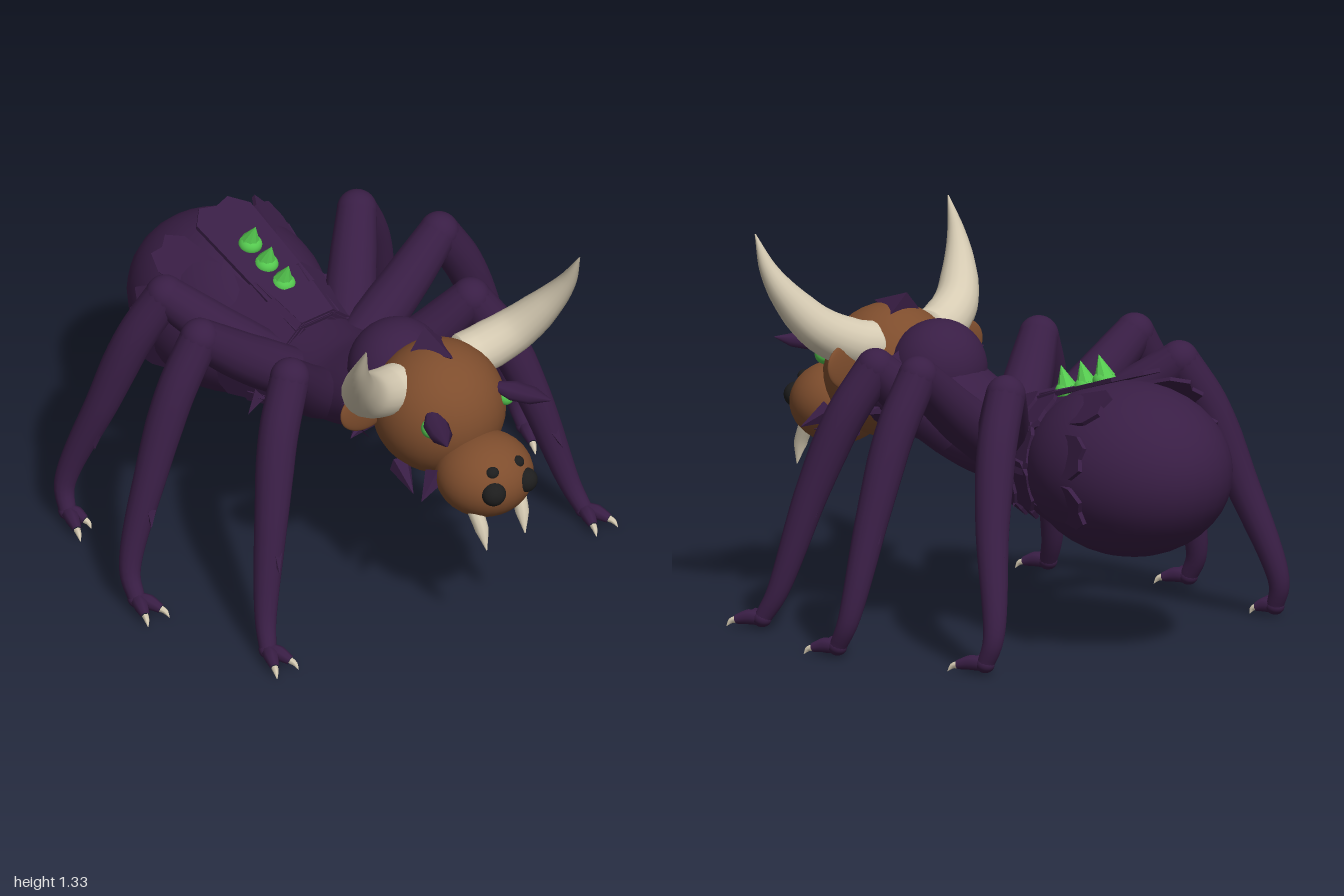
import * as THREE from 'three';

const material = (name, color) => {
  const m = new THREE.MeshStandardMaterial({ color });
  m.name = name;
  return m;
};
const V = (x, y, z) => new THREE.Vector3(x, y, z);

export function createModel() {
  const model = new THREE.Group();
  model.name = 'hornedCreature';
  const purple = material('purple hide', 0x391e45);
  const brown = material('brown skin', 0x7e4d2d);
  const cream = material('cream horn', 0xd6cbb3);
  const green = material('green glow', 0x55c94f);
  const black = material('black nostril', 0x1d1d1d);

  const add = (name, geometry, mat, parent = model) => {
    const mesh = new THREE.Mesh(geometry, mat);
    mesh.name = name;
    parent.add(mesh);
    return mesh;
  };
  const ball = (name, mat, c, r, parent = model) => {
    const mesh = add(name, new THREE.SphereGeometry(1, 32, 20), mat, parent);
    mesh.position.set(...c);
    mesh.scale.set(...r);
    return mesh;
  };
  // Tube along a smooth path with radii spread evenly over its length
  const limb = (name, mat, points, radii, parent = model, segments = 14) => {
    const curve = new THREE.CatmullRomCurve3(points, false, 'centripetal');
    const steps = 36;
    const g = new THREE.TubeGeometry(curve, steps, 1, segments);
    const p = g.attributes.position;
    const v = V(0, 0, 0);
    for (let i = 0; i <= steps; i++) {
      const t = (i / steps) * (radii.length - 1);
      const k = Math.min(Math.floor(t), radii.length - 2);
      const r = THREE.MathUtils.lerp(radii[k], radii[k + 1], t - k);
      const c = curve.getPointAt(i / steps);
      for (let j = 0; j <= segments; j++) {
        const n = i * (segments + 1) + j;
        v.fromBufferAttribute(p, n).sub(c).multiplyScalar(r).add(c);
        p.setXYZ(n, v.x, v.y, v.z);
      }
    }
    return add(name, g, mat, parent);
  };
  // Pointed cone from base to tip
  const spike = (name, mat, base, tip, r, parent = model, sides = 5) => {
    const d = tip.clone().sub(base);
    const mesh = add(name, new THREE.ConeGeometry(r, d.length(), sides).toNonIndexed(), mat, parent);
    mesh.geometry.computeVertexNormals();
    mesh.position.copy(base).addScaledVector(d, 0.5);
    mesh.quaternion.setFromUnitVectors(V(0, 1, 0), d.normalize());
    return mesh;
  };

  // Body
  ball('abdomen', purple, [-0.61, 0.63, 0], [0.39, 0.305, 0.33]);
  const torso = limb('torso', purple,
    [V(-0.4, 0.64, 0), V(-0.15, 0.64, 0), V(0.08, 0.665, 0), V(0.25, 0.73, 0), V(0.42, 0.79, 0)],
    [0.19, 0.155, 0.142, 0.145, 0.15, 0.18], model, 24);
  torso.scale.z = 1.4;
  ball('neckHood', purple, [0.325, 0.85, 0], [0.165, 0.172, 0.175]);

  // Overlapping plates fanned around the front of the abdomen
  const plate = (angle, length, width, lift) => {
    const w = width;
    const shape = new THREE.Shape([
      [0, -w * 0.7], [0, w * 0.7], [-length * 0.9, w * 0.85], [-length, w * 0.45],
      [-length * 0.97, 0], [-length, -w * 0.45], [-length * 0.9, -w * 0.85],
    ].map(([x, y]) => new THREE.Vector2(x, y)));
    const g = new THREE.ExtrudeGeometry(shape, { depth: 0.015, bevelEnabled: false });
    g.rotateX(-Math.PI / 2).rotateZ(-0.31).translate(-0.12, 0.16 + lift, 0);
    const mesh = add('abdomenPlate', g, purple);
    mesh.rotation.x = angle;
    mesh.position.y = 0.63;
  };
  for (const a of [0, 0.7, -0.7, 1.3, -1.3, 1.85, -1.85, 2.4, -2.4]) {
    const l = a === 0 ? 0.61 : Math.abs(a) > 2 ? 0.33 : 0.63;
    plate(a, l, a === 0 ? 0.14 : 0.09, a === 0 ? 0 : -0.01);
    plate(a, l * 0.42, 0.11, 0.006);
    plate(a, l * 0.25, 0.1, 0.018);
  }
  // Ragged fringe underneath the waist
  for (let i = -3; i <= 3; i++)
    spike('waistFringe', purple, V(-0.2, 0.54, i * 0.06), V(-0.2, 0.43 + Math.abs(i) * 0.012, i * 0.08), 0.035, model, 4);

  // Glowing back spines
  [[-0.49, 0.925], [-0.4, 0.89], [-0.305, 0.86]].forEach(([x, y]) => {
    ball('spineBase', green, [x, y, 0], [0.042, 0.034, 0.042]);
    spike('backSpine', green, V(x, y + 0.012, 0), V(x + 0.03, y + 0.088, 0), 0.037, model, 8);
  });

  // Head
  ball('head', brown, [0.56, 0.81, 0], [0.235, 0.237, 0.235]);
  ball('muzzle', brown, [0.815, 0.66, 0], [0.172, 0.145, 0.172]);
  spike('headCrest', purple, V(0.49, 1.025, 0), V(0.64, 1.045, 0), 0.07, model, 4);

  for (const s of [1, -1]) {
    const P = (x, y, z) => V(x, y, z * s);
    const side = new THREE.Group();
    side.name = s > 0 ? 'leftSide' : 'rightSide';
    model.add(side);

    // Face
    limb('horn', cream,
      [P(0.515, 0.925, 0.15), P(0.53, 0.94, 0.22), P(0.575, 1.0, 0.335), P(0.645, 1.11, 0.42), P(0.7, 1.21, 0.46), P(0.752, 1.33, 0.473)],
      [0.085, 0.086, 0.079, 0.067, 0.048, 0.026, 0.002], side, 18);
    ball('hornRoot', cream, [0.515, 0.925, 0.155 * s], [0.085, 0.084, 0.03], side);
    ball('eye', green, [0.722, 0.865, 0.165 * s], [0.034, 0.035, 0.032], side);
    const brow = limb('brow', purple, [P(0.695, 0, 0.14), P(0.79, 0, 0.185), P(0.9, 0.01, 0.232)],
      [0.02, 0.045, 0.04, 0.002], side, 8);
    brow.scale.y = 0.65;
    brow.position.y = 0.903;
    ball('nostril', black, [0.955, 0.675, 0.07 * s], [0.042, 0.044, 0.044], side);
    ball('muzzleSpot', black, [0.928, 0.742, 0.055 * s], [0.024, 0.022, 0.025], side);
    limb('fang', cream, [P(0.88, 0.58, 0.095), P(0.91, 0.52, 0.09), P(0.935, 0.435, 0.085)],
      [0.028, 0.024, 0.002], side, 10);
    const ear = ball('ear', brown, [0.49, 0.87, 0.27 * s], [0.016, 0.085, 0.11], side);
    ear.rotation.x = -0.2 * s;
    spike('cheekSpike', purple, P(0.43, 0.86, 0.19), P(0.42, 0.87, 0.32), 0.055, side);
    spike('hoodSpike', purple, P(0.37, 0.74, 0.15), P(0.42, 0.71, 0.28), 0.05, side);
    spike('jawSpike', purple, P(0.56, 0.63, 0.17), P(0.71, 0.61, 0.23), 0.04, side);
    spike('jawSpike', purple, P(0.72, 0.66, 0.14), P(0.765, 0.61, 0.24), 0.04, side, 4);

    // Legs: hip, knee, shin, ankle and foot
    const legs = [
      ['hindLeg', [-0.15, 0.68, 0.16], [-0.43, 0.925, 0.425], [-0.545, 0.5, 0.605], [-0.645, 0.13, 0.7], [-0.615, 0.04, 0.71], [[-0.48, 0.76], [-0.52, 0.68]]],
      ['middleLeg', [-0.07, 0.68, 0.16], [-0.105, 0.96, 0.53], [-0.1, 0.5, 0.745], [-0.085, 0.13, 0.855], [-0.04, 0.04, 0.86], [[0.08, 0.905], [0.08, 0.81]]],
      ['foreLeg', [0.1, 0.68, 0.16], [0.235, 0.92, 0.4], [0.36, 0.5, 0.58], [0.445, 0.13, 0.675], [0.49, 0.04, 0.7], [[0.61, 0.755], [0.61, 0.66]]],
    ];
    for (const [name, hip, knee, shin, ankle, foot, toes] of legs) {
      const leg = new THREE.Group();
      leg.name = name;
      side.add(leg);
      const h = P(...hip), k = P(...knee), m = P(...shin), a = P(...ankle), f = P(...foot);
      // Thigh and shin meet in a round knee
      limb('thigh', purple, [h, h.clone().lerp(k, 0.5).add(P(0, -0.01, 0)), k], [0.09, 0.09, 0.082, 0.07], leg);
      ball('knee', purple, k.toArray(), [0.07, 0.07, 0.07], leg);
      const bulge = k.clone().lerp(m, 0.45).add(P(0, 0.02, 0.015));
      limb('shin', purple, [k, bulge, m, a, f], [0.07, 0.071, 0.068, 0.06, 0.052, 0.042, 0.03], leg);
      ball('foot', purple, f.toArray(), [0.034, 0.03, 0.032], leg);
      for (const [x, z] of toes) {
        const tip = P(x, 0.004, z);
        const joint = f.clone().lerp(tip, 0.74).setY(0.03);
        limb('toe', purple, [f, f.clone().lerp(joint, 0.5).setY(0.042), joint], [0.026, 0.027, 0.016], leg, 8);
        limb('claw', cream, [joint, joint.clone().lerp(tip, 0.5).setY(0.024), tip], [0.013, 0.009, 0.001], leg, 6);
      }
      // Bristles pointing down the limb
      const bristles = [[h, k, 0.6, 1], [h, k, 0.85, -1], [k, m, 0.3, -1], [k, m, 0.65, 1], [m, a, 0.1, -1], [m, a, 0.35, 1]];
      for (const [from, to, t, way] of bristles) {
        const along = to.clone().sub(from).normalize();
        const b = from.clone().lerp(to, t).addScaledVector(V(way, 0, 0), 0.035);
        const tip = b.clone().addScaledVector(along, 0.06).addScaledVector(V(way, 0, 0), 0.025);
        spike('legBristle', purple, b, tip, 0.022, leg, 4);
      }
    }
  }
  return model;
}
